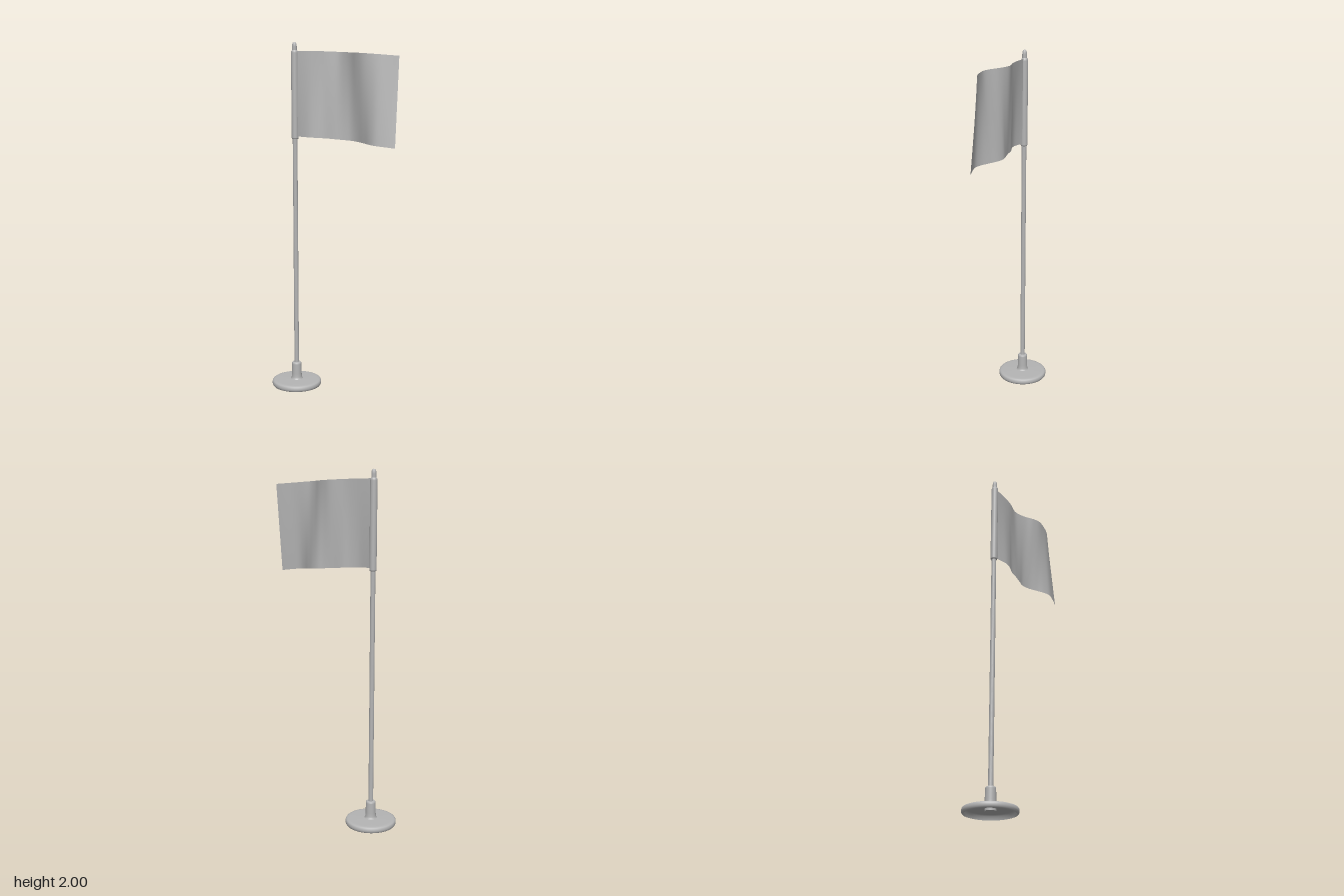
import * as THREE from 'three';

const POLE_X = -0.233;

export function createModel() {
  const group = new THREE.Group();
  const grey = new THREE.MeshStandardMaterial({ color: 0xb4b4b4, side: THREE.DoubleSide });
  grey.name = 'plain grey';

  const add = (name, geometry, x = 0) => {
    const mesh = new THREE.Mesh(geometry, grey);
    mesh.name = name;
    mesh.position.x = x;
    group.add(mesh);
  };
  // Each profile segment is its own lathe strip set, keeping the corners between runs crisp.
  const turned = (name, runs) => runs.forEach((run) =>
    add(name, new THREE.LatheGeometry(run.map(([r, y]) => new THREE.Vector2(r, y)), 48), POLE_X));

  // Round foot, hollow underneath
  turned('base', [
    [[0.134, 0], [0.140, 0.002], [0.144, 0.008], [0.145, 0.016], [0.144, 0.025], [0.140, 0.031],
      [0.132, 0.034], [0.12, 0.035], [0.036, 0.038]],
    [[0.03, 0.027], [0.12, 0.026], [0.130, 0.02], [0.134, 0]],
  ]);

  // Socket holding the pole, flared at its foot
  turned('socket', [
    [[0.037, 0.037], [0.033, 0.041], [0.030, 0.05], [0.029, 0.07], [0.028, 0.128], [0.027, 0.135],
      [0.023, 0.139], [0.014, 0.14]],
    [[0, 0.015], [0.03, 0.015]],
    [[0.03, 0.015], [0.03, 0.028]],
  ]);

  // Slim pole with a rounded tip
  turned('pole', [
    [[0.0135, 0.02], [0.0135, 1.975], [0.0125, 1.988], [0.009, 1.996], [0.004, 1.9995], [0, 2]],
  ]);

  // Cloth sleeve around the pole
  turned('sleeve', [
    [[0.0135, 1.46], [0.018, 1.461], [0.0195, 1.468], [0.0195, 1.94], [0.018, 1.95], [0.0135, 1.955]],
  ]);

  // Waving cloth: blends between the curves of its top and bottom edges
  const edge = (points) => {
    const curve = new THREE.CatmullRomCurve3(points.map(([x, z]) => new THREE.Vector3(x, 0, z)));
    const samples = curve.getPoints(300);
    return (x) => {
      const i = samples.findIndex((p) => p.x >= x);
      if (i < 0) return samples[samples.length - 1].z;
      if (i === 0) return samples[0].z;
      const a = samples[i - 1], b = samples[i];
      return a.z + (b.z - a.z) * (x - a.x) / (b.x - a.x);
    };
  };
  const topZ = edge([[-0.225, 0], [-0.15, -0.002], [-0.06, -0.012], [0.025, -0.034], [0.065, -0.026],
    [0.105, -0.008], [0.15, 0.021], [0.19, 0.035], [0.235, 0.031], [0.3, 0.014], [0.34, -0.006], [0.378, -0.03]]);
  const bottomZ = edge([[-0.225, 0], [-0.185, 0.012], [-0.135, 0.02], [-0.09, 0.011], [-0.05, -0.006],
    [0.01, -0.016], [0.065, -0.028], [0.1, -0.035], [0.14, -0.025], [0.19, 0.005], [0.235, 0.035],
    [0.27, 0.047], [0.32, 0.038], [0.378, 0.019]]);

  const x0 = -0.225, x1 = 0.378;
  const cloth = new THREE.PlaneGeometry(1, 1, 72, 24);
  const pos = cloth.attributes.position;
  for (let i = 0; i < pos.count; i++) {
    const u = pos.getX(i) + 0.5, v = pos.getY(i) + 0.5;
    const x = x0 + (x1 - x0) * u;
    const sag = Math.pow(u, 1.6);
    const top = 1.951 - 0.034 * sag, bottom = 1.475 - 0.049 * sag;
    pos.setXYZ(i, x, bottom + (top - bottom) * v, bottomZ(x) + (topZ(x) - bottomZ(x)) * v);
  }
  cloth.computeVertexNormals();
  add('flagCloth', cloth);

  return group;
}
